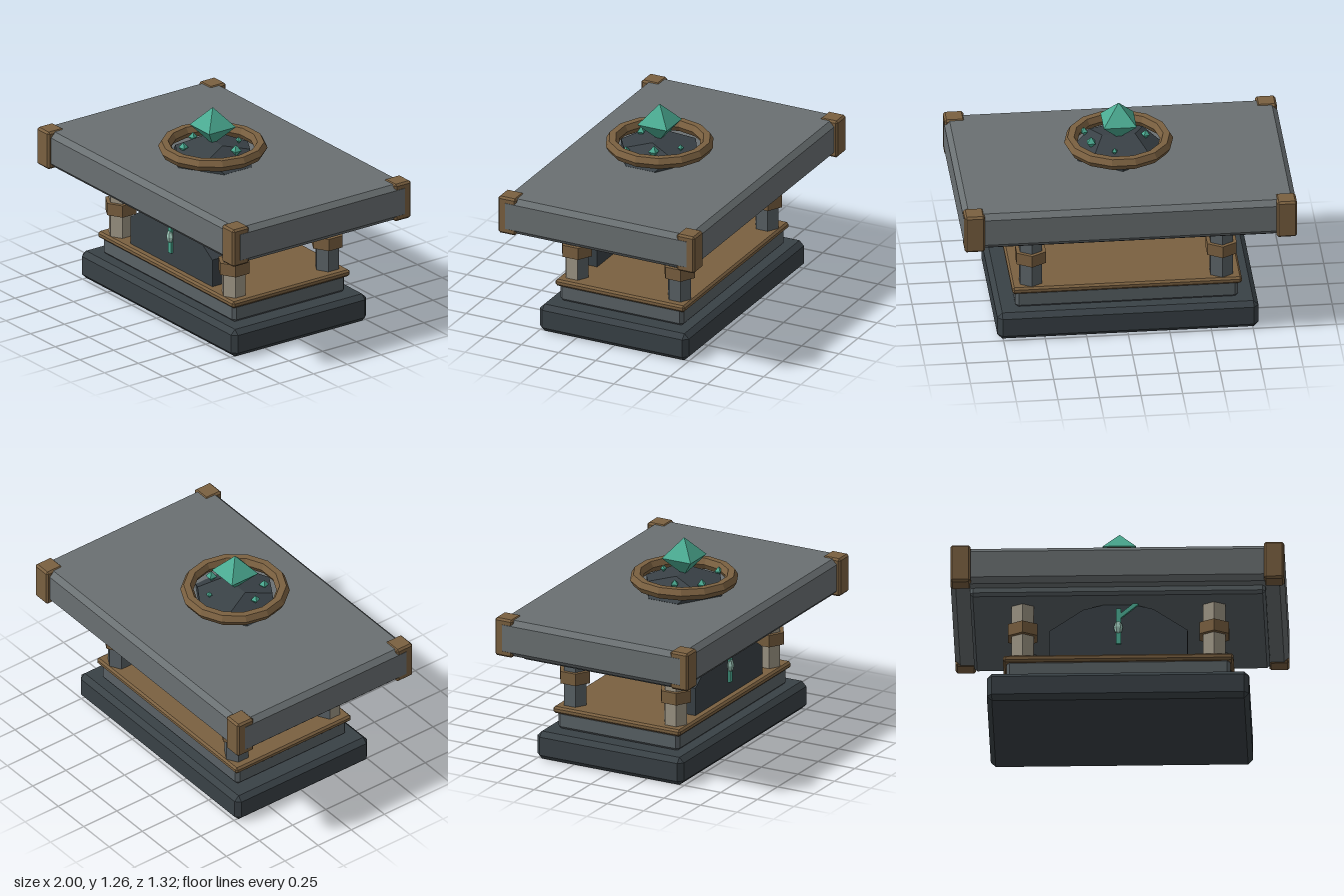
import * as THREE from 'three';
import { ConvexGeometry } from 'three/addons/geometries/ConvexGeometry.js';

const paint = (color) => new THREE.MeshStandardMaterial({ color, flatShading: true });

export function createModel() {
  const model = new THREE.Group();
  const darkStone = paint(0x394146);
  const midStone = paint(0x596165);
  const slabStone = paint(0x6a7072);
  const paleStone = paint(0x9d9585);
  const bronze = paint(0x7a6040);
  const jade = paint(0x4bab92);
  const paleJade = paint(0x9fc9bb);

  const add = (name, geometry, material, x = 0, y = 0, z = 0, parent = model) => {
    const mesh = new THREE.Mesh(geometry, material);
    mesh.name = name;
    mesh.position.set(x, y, z);
    parent.add(mesh);
    return mesh;
  };

  // Box with every edge chamfered by c
  const chamferBox = (w, h, d, c) => {
    const points = [];
    for (const sx of [-1, 1]) for (const sy of [-1, 1]) for (const sz of [-1, 1]) {
      for (let axis = 0; axis < 3; axis++) {
        const inset = [c, c, c];
        inset[axis] = 0;
        points.push(new THREE.Vector3(
          sx * (w / 2 - inset[0]), sy * (h / 2 - inset[1]), sz * (d / 2 - inset[2])));
      }
    }
    return new ConvexGeometry(points);
  };
  const layer = (name, w, d, y0, y1, c, material) =>
    add(name, chamferBox(w, y1 - y0, d, c), material, 0, (y0 + y1) / 2, 0);

  // Stepped base and table top
  layer('basePlinth', 1.57, 1.0, 0, 0.175, 0.03, darkStone);
  layer('baseStep', 1.34, 0.83, 0.17, 0.29, 0.02, midStone);
  layer('baseTrim', 1.38, 0.87, 0.275, 0.317, 0.012, bronze);
  layer('topUnderlayer', 1.77, 1.09, 0.66, 0.74, 0.018, midStone);
  layer('topSlab', 2.0, 1.28, 0.708, 0.937, 0.031, slabStone);

  // Corner caps and six-sided columns with bronze bands
  for (const sx of [-1, 1]) for (const sz of [-1, 1]) {
    add('cornerCap', chamferBox(0.122, 0.24, 0.122, 0.012), bronze, sx * 0.938, 0.823, sz * 0.6);

    const column = new THREE.Group();
    column.name = 'column';
    column.position.set(sx * 0.573, 0.49, sz * 0.345);
    model.add(column);
    const sides = (count, start) => new THREE.CylinderGeometry(
      0.077, 0.077, 0.36, count, 1, true, start, count * Math.PI / 3);
    // The front columns are pale on all but their rear faces
    add('columnShaft', sides(4, -2 * Math.PI / 3), sz > 0 ? paleStone : midStone, 0, 0, 0, column);
    add('columnRear', sides(2, 2 * Math.PI / 3), midStone, 0, 0, 0, column);
    add('columnBand', new THREE.CylinderGeometry(0.102, 0.102, 0.076, 6), bronze, 0, 0.01, 0, column);
  }

  // Arched front panel
  const arch = new THREE.Shape([
    [-0.415, 0.3], [0.415, 0.3], [0.415, 0.49], [0.21, 0.63],
    [0.06, 0.668], [-0.06, 0.668], [-0.21, 0.63], [-0.415, 0.49],
  ].map(([x, y]) => new THREE.Vector2(x, y)));
  add('frontPanel', new THREE.ExtrudeGeometry(arch, { depth: 0.1, bevelEnabled: false }), darkStone, 0, 0, 0.29);

  // Jade inlay on the panel
  add('inlayStem', new THREE.BoxGeometry(0.03, 0.23, 0.02), jade, 0, 0.515, 0.395);
  const branch = add('inlayBranch', new THREE.BoxGeometry(0.024, 0.15, 0.02), jade, 0.056, 0.618, 0.395);
  branch.rotation.z = -0.87;
  const gem = add('inlayGem', new THREE.SphereGeometry(1, 6, 4), paleJade, 0, 0.505, 0.4);
  gem.scale.set(0.027, 0.043, 0.02);

  // Rock mound inside a faceted ring
  const cz = 0.083;
  const mound = add('rockMound', new THREE.DodecahedronGeometry(0.277), darkStone, 0, 0.94, cz);
  mound.scale.y = 0.42;
  const ring = add('moundRing', new THREE.TorusGeometry(0.288, 0.04, 6, 14), bronze, 0, 1.01, cz);
  ring.rotation.x = Math.PI / 2;

  // Four-sided crystals: large centre one and small ones around it
  const crystal = (name, x, y, z, r, h, turn) => {
    const mesh = add(name, new THREE.OctahedronGeometry(1), jade, x, y, z);
    mesh.scale.set(r, h, r);
    mesh.rotation.y = turn;
  };
  crystal('mainCrystal', 0, 1.145, cz, 0.14, 0.12, Math.PI / 4);
  [[0.04, 1.025, -0.08, 0.02], [0.17, 1.03, 0.035, 0.034], [0.195, 1.01, 0.21, 0.026],
    [-0.075, 1.02, 0.245, 0.03], [-0.165, 1.025, 0.11, 0.028]].forEach(([x, y, z, r], i) =>
    crystal('smallCrystal', x, y, z, r, r * 1.1, 0.6 + i * 0.15));

  return model;
}
